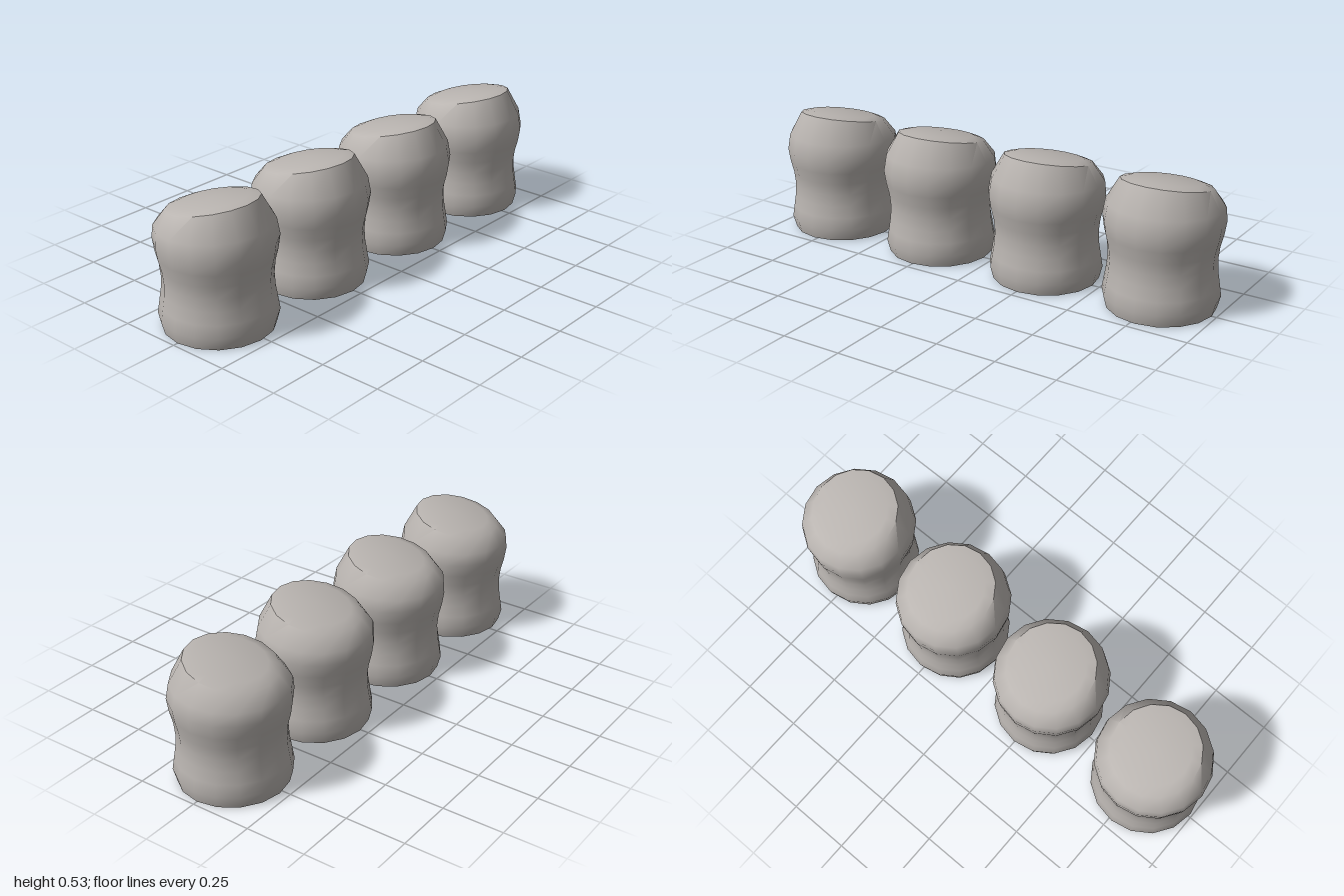
import * as THREE from 'three';
import { toCreasedNormals } from 'three/addons/utils/BufferGeometryUtils.js';

const SIDES = 16;

// Stacked rings: [centre x, centre y, radius, tilt (rise per unit x)]
const RINGS = [
  [0, 0, 0, 0],
  [0, 0, 0.214, 0],
  [0, 0.05, 0.227, 0],
  [0, 0.1, 0.219, 0],
  [0, 0.15, 0.211, 0],
  [0, 0.2, 0.208, 0],
  [0, 0.25, 0.213, 0],
  [0, 0.3, 0.225, 0],
  [0, 0.355, 0.233, 0],
  [-0.005, 0.411, 0.225, 0.045], // shoulder
  [-0.01, 0.488, 0.176, 0.2],    // slanted rim
  [-0.01, 0.5, 0.135, 0.2],      // slightly domed top
  [-0.01, 0.507, 0, 0.2],
];

function pegGeometry() {
  const positions = [];
  const index = [];
  for (const [cx, cy, r, tilt] of RINGS) {
    for (let i = 0; i < SIDES; i++) {
      const a = (i / SIDES) * Math.PI * 2;
      const dx = r * Math.cos(a);
      positions.push(cx + dx, cy + dx * tilt, r * Math.sin(a));
    }
  }
  for (let k = 0; k < RINGS.length - 1; k++) {
    for (let i = 0; i < SIDES; i++) {
      const j = (i + 1) % SIDES;
      const a = k * SIDES + i, b = k * SIDES + j;
      const c = a + SIDES, d = b + SIDES;
      // Skip the collapsed triangles at the two poles
      if (RINGS[k][2] > 0) index.push(a, c, b);
      if (RINGS[k + 1][2] > 0) index.push(b, c, d);
    }
  }
  const geometry = new THREE.BufferGeometry();
  geometry.setAttribute('position', new THREE.Float32BufferAttribute(positions, 3));
  geometry.setIndex(index);
  return toCreasedNormals(geometry, THREE.MathUtils.degToRad(45));
}

export function createModel() {
  const group = new THREE.Group();
  group.name = 'postRow';
  const stone = new THREE.MeshStandardMaterial({ color: 0xb9b4b0 });
  stone.name = 'warm grey';

  // Four identical slant-topped posts in a row
  const geometry = pegGeometry();
  for (let n = 0; n < 4; n++) {
    const post = new THREE.Mesh(geometry, stone);
    post.name = `post${n + 1}`;
    post.position.z = (n - 1.5) * 0.511;
    group.add(post);
  }
  return group;
}
